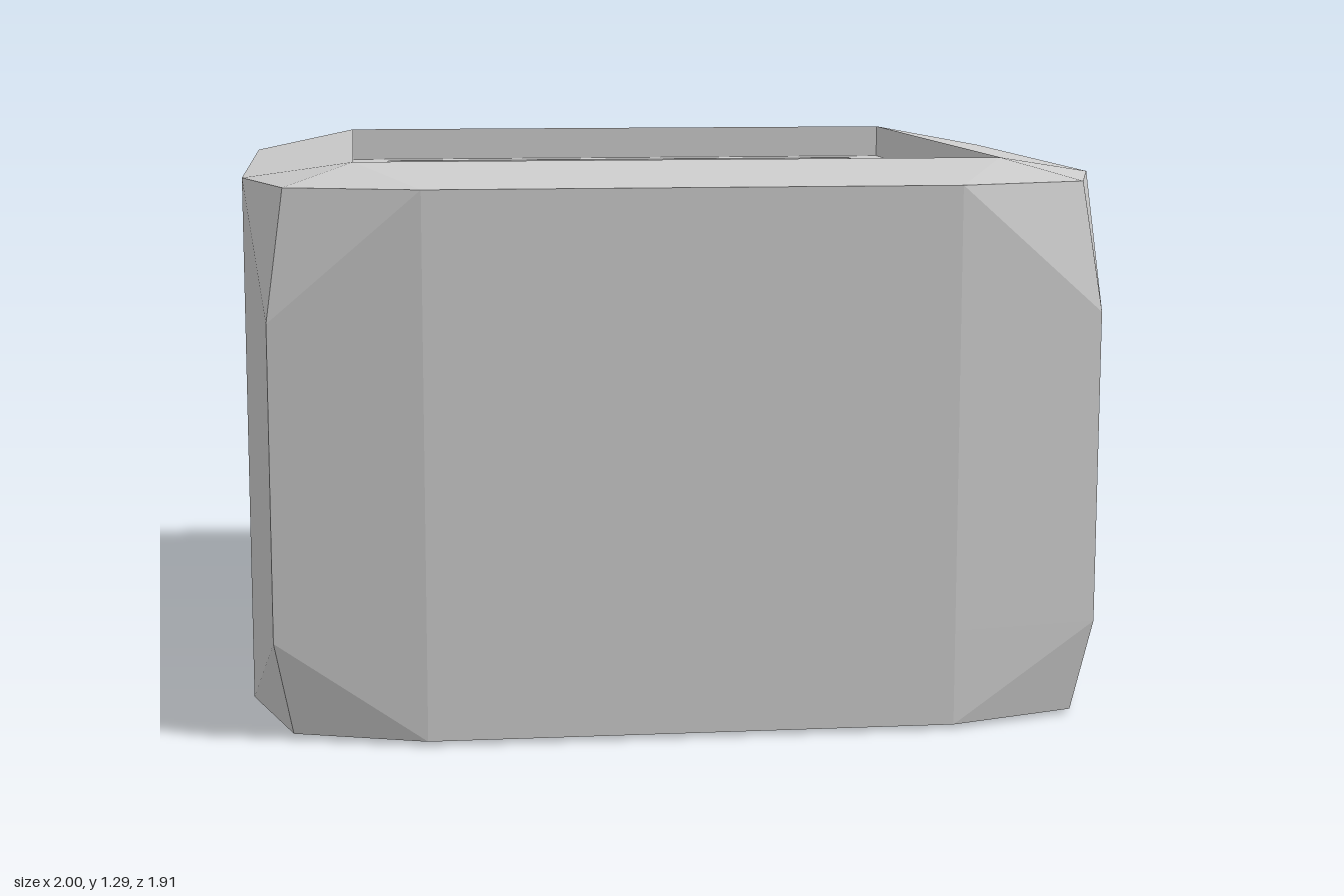
import * as THREE from 'three';

const material = new THREE.MeshStandardMaterial({ color: 0xcccccc, flatShading: true });

// Joins rings of equal point count with flat facets, splitting each quad on its longer diagonal.
function loft(name, rings) {
  const pos = [];
  const tri = (a, b, c) => {
    const t = new THREE.Triangle(a, b, c);
    if (t.getArea() > 1e-7) [a, b, c].forEach((p) => pos.push(p.x, p.y, p.z));
  };
  for (let r = 0; r + 1 < rings.length; r++) {
    const a = rings[r], b = rings[r + 1], n = a.length;
    for (let i = 0; i < n; i++) {
      const j = (i + 1) % n;
      if (b[i].distanceTo(a[j]) >= a[i].distanceTo(b[j])) {
        tri(a[i], b[i], a[j]);
        tri(b[i], b[j], a[j]);
      } else {
        tri(a[i], b[i], b[j]);
        tri(a[i], b[j], a[j]);
      }
    }
  }
  const geometry = new THREE.BufferGeometry();
  geometry.setAttribute('position', new THREE.Float32BufferAttribute(pos, 3));
  geometry.computeVertexNormals();
  const mesh = new THREE.Mesh(geometry, material);
  mesh.name = name;
  return mesh;
}

// Mirrors one corner's three points into all four quadrants, running from +x towards +z.
function ring(y, corner) {
  const points = [];
  [[1, 1], [-1, 1], [-1, -1], [1, -1]].forEach(([sx, sz]) => {
    const c = sx * sz > 0 ? corner : [...corner].reverse();
    c.forEach(([x, z]) => points.push(new THREE.Vector3(sx * x, y, sz * z)));
  });
  return points;
}
const block = (y, cx, cz) => ring(y, [[1, 0.54], [cx, cz], [0.6, 0.957]]);
const rect = (y, x, z) => ring(y, [[x, z], [x, z], [x, z]]);

export function createModel() {
  const group = new THREE.Group();
  group.name = 'socketBlock';
  const floorY = 1.168, pocketDepth = 0.25;

  // Chamfered block, sloping rim, and stepped recess in the top
  group.add(loft('body', [
    rect(0, 0, 0),
    block(0.01, 0.9, 0.86),
    block(0.23, 0.94, 0.9),
    block(0.95, 0.94, 0.9),
    block(1.245, 0.9, 0.86),
    rect(1.29, 0.745, 0.705),
    rect(1.206, 0.745, 0.705),
    rect(1.206, 0.65, 0.638),
    rect(floorY, 0.65, 0.638),
  ]));

  // Recess floor with three rectangular openings: centre x, centre z, width, depth
  const pockets = [
    [-0.04, -0.205, 0.26, 0.385],
    [-0.293, 0.295, 0.345, 0.23],
    [0.233, 0.295, 0.345, 0.23],
  ];
  const outline = (Type, x, z, w, d) => new Type([[-1, -1], [1, -1], [1, 1], [-1, 1]]
    .map(([sx, sz]) => new THREE.Vector2(x + sx * w / 2, -z + sz * d / 2)));
  const shape = outline(THREE.Shape, 0, 0, 1.3, 1.276);
  shape.holes = pockets.map((p) => outline(THREE.Path, ...p));
  const floor = new THREE.Mesh(new THREE.ShapeGeometry(shape).rotateX(-Math.PI / 2), material);
  floor.name = 'recessFloor';
  floor.position.y = floorY;
  group.add(floor);

  // Pocket walls and bottoms
  pockets.forEach(([x, z, w, d], i) => {
    const pocket = loft(`pocket${i + 1}`, [
      rect(0, w / 2, d / 2),
      rect(-pocketDepth, w / 2, d / 2),
      rect(-pocketDepth, 0, 0),
    ]);
    pocket.position.set(x, floorY, z);
    group.add(pocket);
  });
  return group;
}
